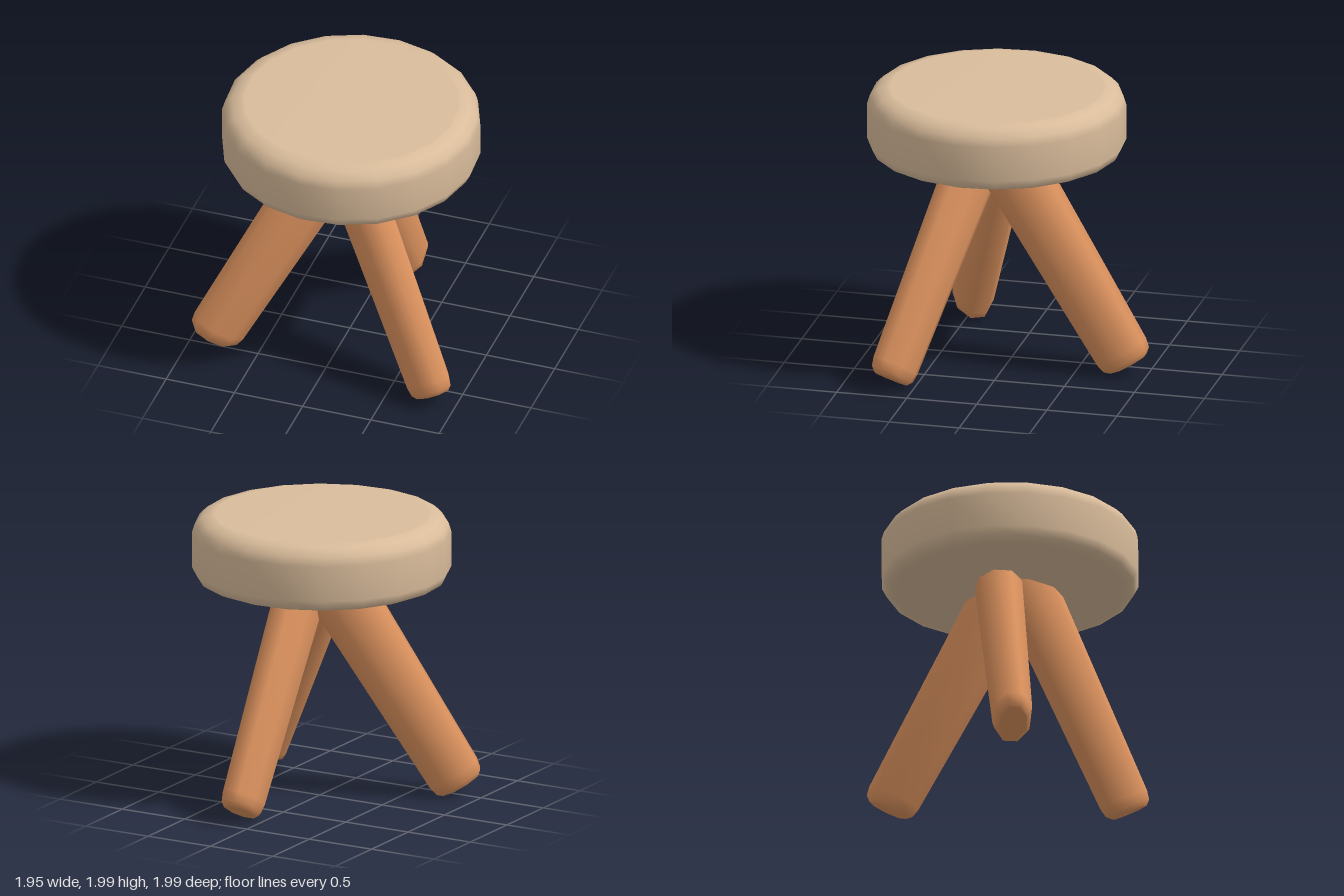
import * as THREE from 'three';

const lathe = (pairs, sides, phi) =>
  new THREE.LatheGeometry(pairs.map(([r, y]) => new THREE.Vector2(r, y)), sides, phi);

export function createModel() {
  const fabric = new THREE.MeshStandardMaterial({ color: 0xd9bc9b });
  fabric.name = 'tan seat';
  const wood = new THREE.MeshStandardMaterial({ color: 0xdc925e });
  wood.name = 'orange wood';

  const stool = new THREE.Group();
  stool.name = 'stool';
  const body = new THREE.Group();
  body.name = 'stoolBody';
  body.position.set(0.043, 0, 0.098);
  stool.add(body);

  // thick round seat with softened rims
  const seat = new THREE.Mesh(lathe([
    [0, 1.53], [0.78, 1.53], [0.81, 1.532], [0.865, 1.555], [0.898, 1.62],
    [0.898, 1.87], [0.88, 1.93], [0.83, 1.98], [0.765, 1.998], [0.74, 2], [0, 2],
  ], 20, THREE.MathUtils.degToRad(13.3)), fabric);
  seat.name = 'seat';
  body.add(seat);

  // oval eight-sided leg, thicker towards the top, with a bevelled foot
  const legShape = lathe([
    [0, 0], [0.68, 0], [0.74, 0.003], [0.92, 0.035], [0.99, 0.1],
    [1.18, 1.92], [0, 1.92],
  ], 8, Math.PI / 8);
  legShape.scale(0.143, 1, 0.206);

  // three splayed legs, each set slightly to one side of the centre
  ['backLeg', 'leftFrontLeg', 'rightFrontLeg'].forEach((name, i) => {
    const pivot = new THREE.Group();
    pivot.name = name;
    pivot.rotation.y = -i * Math.PI * 2 / 3;
    const leg = new THREE.Mesh(legShape, wood);
    leg.name = name + 'Post';
    leg.position.set(0.09, 0.075, -0.965);
    leg.rotation.x = THREE.MathUtils.degToRad(31);
    pivot.add(leg);
    body.add(pivot);
  });

  return stool;
}
